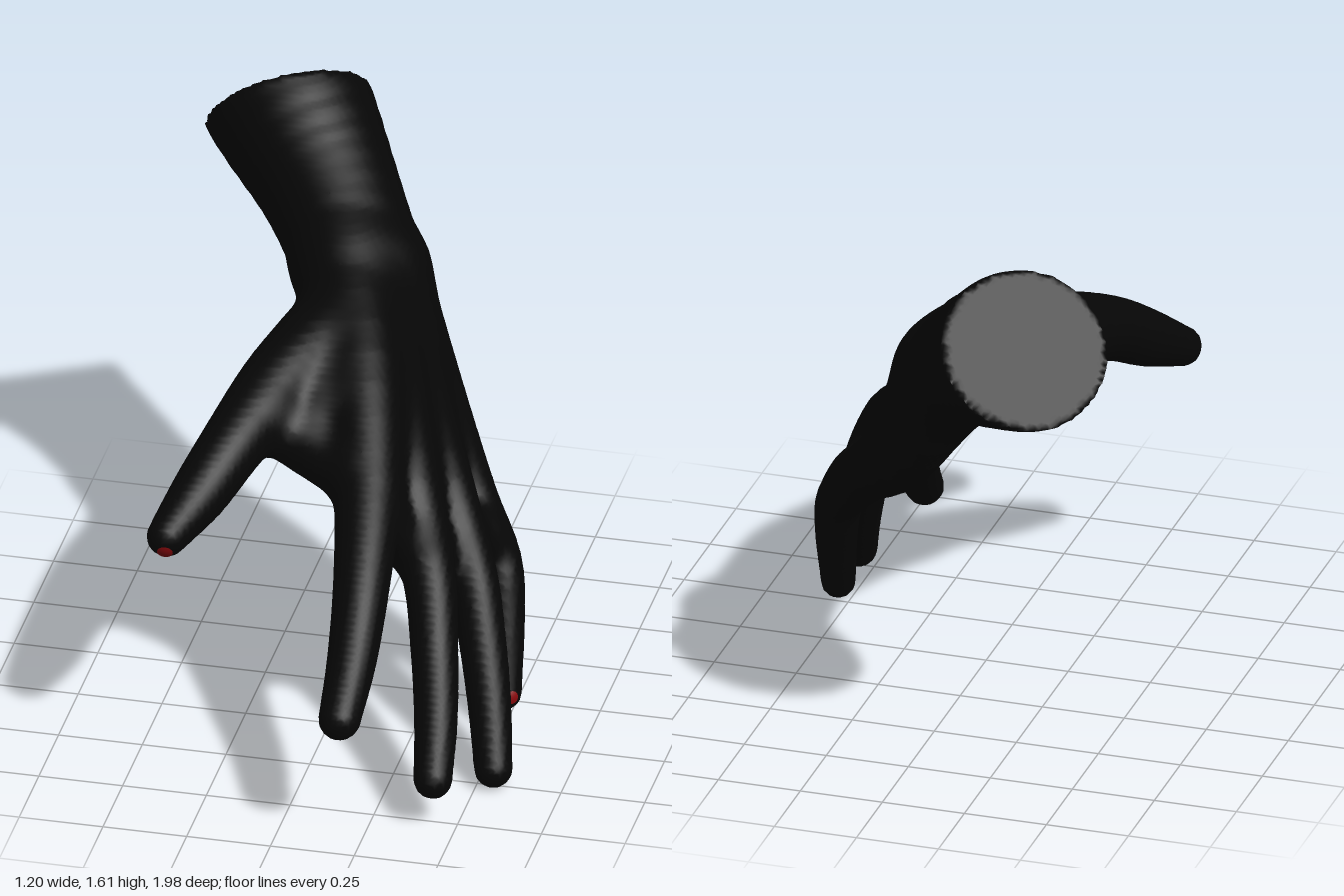
import * as THREE from 'three';

const V = (a) => new THREE.Vector3(...a);
const BLEND = 0.05;  // softness where strands of flesh meet
const FAR = 0.12;    // distance beyond which a strand is ignored
const CELL = 0.016;  // size of the sampling grid
const LOW = [-0.68, -0.05, -1.1], HIGH = [0.68, 1.73, 1.06];

// Strands of flesh as [x, y, z, radius] points; each finger runs from wrist to tip
const STRANDS = {
  forearmInner: [[-0.56, 1.57, -1.035, 0.24], [-0.39, 1.44, -0.82, 0.228], [-0.225, 1.3, -0.62, 0.19], [-0.09, 1.18, -0.37, 0.155]],
  forearmOuter: [[-0.535, 1.57, -1.045, 0.24], [-0.365, 1.44, -0.83, 0.228], [-0.2, 1.3, -0.635, 0.19], [-0.03, 1.14, -0.43, 0.158]],
  indexFinger: [[-0.1, 1.18, -0.36, 0.15], [0.04, 1.05, 0.01, 0.122], [0.135, 0.85, 0.34, 0.1],
    [0.175, 0.69, 0.58, 0.084], [0.19, 0.53, 0.77, 0.073], [0.19, 0.415, 0.93, 0.062]],
  middleFinger: [[-0.075, 1.165, -0.385, 0.15], [0.08, 0.97, -0.095, 0.125], [0.23, 0.78, 0.2, 0.094],
    [0.32, 0.58, 0.34, 0.078], [0.365, 0.425, 0.47, 0.07], [0.405, 0.28, 0.62, 0.064], [0.43, 0.155, 0.765, 0.057]],
  ringFinger: [[-0.045, 1.15, -0.415, 0.15], [0.12, 0.89, -0.205, 0.125], [0.3, 0.715, 0.06, 0.09],
    [0.41, 0.53, 0.19, 0.074], [0.46, 0.39, 0.28, 0.07], [0.51, 0.22, 0.39, 0.064], [0.548, 0.06, 0.5, 0.056]],
  littleFinger: [[-0.02, 1.13, -0.44, 0.15], [0.16, 0.805, -0.305, 0.115], [0.33, 0.61, -0.1, 0.088],
    [0.44, 0.47, -0.005, 0.072], [0.475, 0.33, 0.06, 0.063], [0.5, 0.12, 0.155, 0.051]],
  thumb: [[-0.07, 1.1, -0.2, 0.128], [-0.12, 1.075, -0.03, 0.128], [-0.19, 1.035, 0.14, 0.113],
    [-0.265, 0.955, 0.35, 0.096], [-0.33, 0.865, 0.5, 0.085], [-0.395, 0.787, 0.632, 0.06]],
  thumbBase: [[-0.05, 1.12, -0.3, 0.13], [-0.03, 1.05, -0.1, 0.12], [-0.04, 0.985, 0.1, 0.115], [-0.05, 0.93, 0.2, 0.088]],
  thumbWeb: [[-0.2, 0.985, 0.22, 0.085], [-0.08, 0.915, 0.225, 0.085], [0.07, 0.87, 0.3, 0.08]],
  fingerWeb: [[0.14, 0.84, 0.33, 0.07], [0.21, 0.73, 0.36, 0.068], [0.29, 0.6, 0.22, 0.073], [0.39, 0.555, 0.02, 0.073]],
};

// Cut through the forearm
const CUT_POINT = V([-0.38, 1.44, -0.815]);
const CUT_NORMAL = V([0.38, -0.61, 0.69]).normalize();

// Turns strand points into short tapered segments with a bounding box
function makeStrand(points) {
  const path = new THREE.CatmullRomCurve3(points.map((p) => V(p)), false, 'catmullrom');
  const size = new THREE.CatmullRomCurve3(points.map((p) => V([p[3], 0, 0])), false, 'catmullrom');
  const n = (points.length - 1) * 4, segments = [];
  const box = new THREE.Box3();
  for (let i = 0; i < n; i++) {
    const a = path.getPoint(i / n), b = path.getPoint((i + 1) / n);
    const ra = size.getPoint(i / n).x, rb = size.getPoint((i + 1) / n).x;
    const d = b.clone().sub(a);
    segments.push({ a, d, len2: d.lengthSq(), ra, dr: rb - ra });
    box.expandByPoint(a).expandByPoint(b);
  }
  box.expandByScalar(Math.max(...points.map((p) => p[3])) + FAR);
  return { segments, box };
}

function strandDistance({ segments, box }, p) {
  let best = FAR;
  if (!box.containsPoint(p)) return best;
  for (const { a, d, len2, ra, dr } of segments) {
    const x = p.x - a.x, y = p.y - a.y, z = p.z - a.z;
    const t = Math.min(1, Math.max(0, (x * d.x + y * d.y + z * d.z) / len2));
    const ex = x - d.x * t, ey = y - d.y * t, ez = z - d.z * t;
    best = Math.min(best, Math.sqrt(ex * ex + ey * ey + ez * ez) - ra - dr * t);
  }
  return best;
}

// Signed distance to the whole hand, strands softly merged
function handDistance(strands, p) {
  let d = FAR;
  for (const s of strands) {
    const e = strandDistance(s, p);
    const h = Math.max(BLEND - Math.abs(d - e), 0) / BLEND;
    d = Math.min(d, e) - h * h * BLEND * 0.25;
  }
  const cut = CUT_NORMAL.x * (CUT_POINT.x - p.x) + CUT_NORMAL.y * (CUT_POINT.y - p.y) + CUT_NORMAL.z * (CUT_POINT.z - p.z);
  return Math.max(d, cut);
}

// Wraps a smooth skin around the zero level of a distance function
function wrapSkin(distance) {
  const n = LOW.map((l, i) => Math.ceil((HIGH[i] - l) / CELL) + 1);
  const step = [1, n[0], n[0] * n[1]];
  const values = new Float32Array(n[0] * n[1] * n[2]);
  const p = new THREE.Vector3();
  const eachPoint = (from, margin, visit) => {
    for (let k = from; k < n[2] - margin; k++)
      for (let j = from; j < n[1] - margin; j++)
        for (let i = from; i < n[0] - margin; i++) visit(i, j, k, i + j * step[1] + k * step[2]);
  };
  eachPoint(0, 0, (i, j, k, id) => {
    p.set(LOW[0] + i * CELL, LOW[1] + j * CELL, LOW[2] + k * CELL);
    values[id] = distance(p);
  });

  // One vertex per crossed cell, at the mean of its edge crossings
  const vertex = new Int32Array(values.length);
  const pos = [], index = [];
  eachPoint(0, 1, (i, j, k, id) => {
    const sum = [0, 0, 0];
    let count = 0;
    for (let c = 0; c < 8; c++) {
      const o = [c & 1, (c >> 1) & 1, c >> 2];
      const from = id + o[0] + o[1] * step[1] + o[2] * step[2];
      for (let axis = 0; axis < 3; axis++) {
        if (o[axis]) continue;
        const u = values[from], w = values[from + step[axis]];
        if ((u < 0) === (w < 0)) continue;
        for (let m = 0; m < 3; m++) sum[m] += o[m];
        sum[axis] += u / (u - w);
        count++;
      }
    }
    if (!count) return;
    vertex[id] = pos.length / 3;
    [i, j, k].forEach((g, m) => pos.push(LOW[m] + (g + sum[m] / count) * CELL));
  });

  // One quad per crossed grid edge
  eachPoint(1, 1, (i, j, k, id) => {
    for (let axis = 0; axis < 3; axis++) {
      const inside = values[id] < 0;
      if (inside === values[id + step[axis]] < 0) continue;
      const b = step[(axis + 1) % 3], c = step[(axis + 2) % 3];
      const q = [id - b - c, id - c, id, id - b].map((cell) => vertex[cell]);
      if (!inside) q.reverse();
      index.push(q[0], q[1], q[2], q[0], q[2], q[3]);
    }
  });

  const g = new THREE.BufferGeometry();
  g.setAttribute('position', new THREE.Float32BufferAttribute(pos, 3));
  g.setIndex(index);
  g.computeVertexNormals();
  return g;
}

export function createModel() {
  const hand = new THREE.Group();
  hand.name = 'hand';
  const black = new THREE.MeshStandardMaterial({ color: 0x060606 });
  black.name = 'black skin';
  const red = new THREE.MeshStandardMaterial({ color: 0x86080c });
  red.name = 'red nail';

  const add = (name, geometry, material) => {
    const m = new THREE.Mesh(geometry, material);
    m.name = name;
    hand.add(m);
    return m;
  };

  // Forearm, palm, fingers and thumb in one continuous skin
  const strands = Object.values(STRANDS).map(makeStrand);
  add('handAndForearm', wrapSkin((p) => handDistance(strands, p)), black);

  // Painted nails: thin caps hugging the fingertips
  const addNail = (name, digit, facing) => {
    const [x, y, z, r] = STRANDS[digit].at(-1);
    const nail = add(name, new THREE.SphereGeometry(r + 0.003, 16, 6, 0, Math.PI * 2, 0, 0.38), red);
    nail.position.set(x, y, z);
    nail.quaternion.setFromUnitVectors(V([0, 1, 0]), V(facing).normalize());
  };
  addNail('thumbNail', 'thumb', [0.1, -0.4, 0.9]);
  addNail('littleFingerNail', 'littleFinger', [0.62, 0.15, 0.76]);

  return hand;
}
